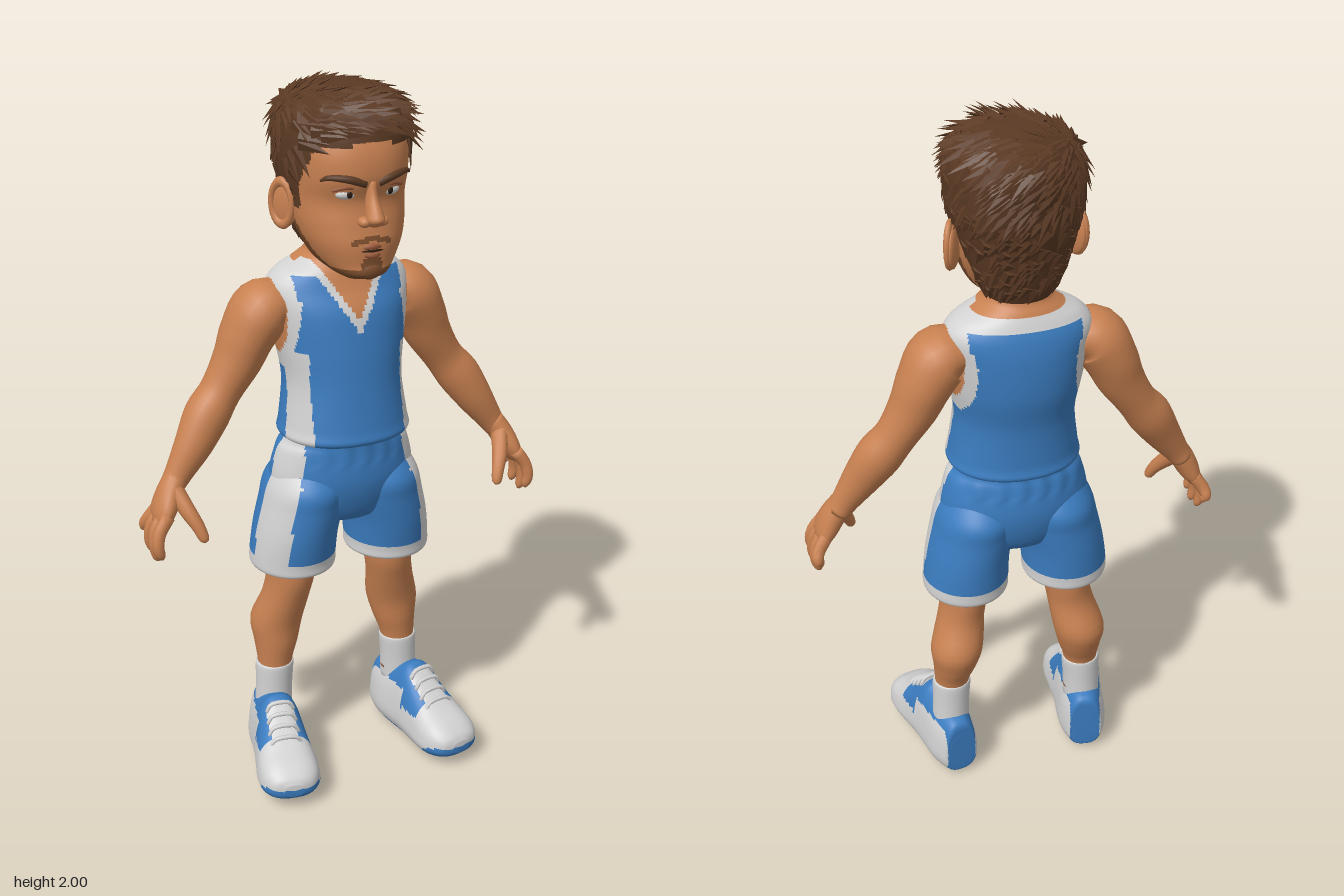
import * as THREE from 'three';
import { mergeGeometries } from 'three/addons/utils/BufferGeometryUtils.js';

const mat = (name, color) => Object.assign(new THREE.MeshStandardMaterial({ color }), { name });
const skin = mat('skin', 0xc88151), blue = mat('team blue', 0x3b7cbf), white = mat('white', 0xd2d2d2),
  hairM = mat('brown hair', 0x5b3a24), beard = mat('stubble', 0x80502f), lip = mat('lips', 0x9c5a3c),
  dark = mat('dark brown', 0x2c1b12);

const V = (x, y, z) => new THREE.Vector3(x, y, z);
const UP = V(0, 1, 0), FORWARD = V(0, 0, 1);
let seed = 7;
const rand = () => (seed = (seed * 16807) % 2147483647) / 2147483647;

// Smooth closed loft through cross-sections [x, y, z, radiusA, radiusB].
// axis keeps all sections parallel; without it they follow the path.
// pick(x, y, z) chooses each face's material, or null to leave the face out.
function loft(name, rings, { n = 20, sub = 4, axis, ref = FORWARD, e = 2, pick, shape, color = skin } = {}) {
  const centre = new THREE.CatmullRomCurve3(rings.map(r => V(r[0], r[1], r[2])), false, 'catmullrom');
  const radius = new THREE.CatmullRomCurve3(rings.map(r => V(r[3], r[4], 0)), false, 'catmullrom');
  const rows = (rings.length - 1) * sub, pos = [], buckets = new Map();
  const dir = axis && axis.clone().multiplyScalar(Math.sign(axis.dot(centre.getPoint(1).sub(centre.getPoint(0)))));
  for (let k = -1; k <= rows + 1; k++) {
    const s = Math.min(Math.max(k / rows, 0), 1), c = centre.getPoint(s), r = radius.getPoint(s);
    if (k < 0 || k > rows) r.set(0, 0, 0);
    const t = dir || centre.getTangent(s);
    const u = t.clone().cross(ref).normalize(), w = u.clone().cross(t).normalize();
    for (let j = 0; j < n; j++) {
      const a = j / n * Math.PI * 2, ca = Math.cos(a), sa = Math.sin(a);
      const p = c.clone()
        .addScaledVector(u, Math.sign(ca) * Math.abs(ca) ** (2 / e) * Math.max(r.x, 0))
        .addScaledVector(w, Math.sign(sa) * Math.abs(sa) ** (2 / e) * Math.max(r.y, 0));
      if (shape) shape(p);
      pos.push(p.x, p.y, p.z);
    }
  }
  for (let i = 0; i < rows + 2; i++) for (let j = 0; j < n; j++) {
    const a = i * n + j, b = i * n + (j + 1) % n, c = a + n, d = b + n;
    const mid = k => (pos[a * 3 + k] + pos[b * 3 + k] + pos[c * 3 + k] + pos[d * 3 + k]) / 4;
    const m = pick ? pick(mid(0), mid(1), mid(2)) : color;
    if (!m) continue;
    if (!buckets.has(m)) buckets.set(m, []);
    buckets.get(m).push(a, c, b, b, c, d);
  }
  const g = new THREE.BufferGeometry(), index = [], mats = [...buckets.keys()];
  g.setAttribute('position', new THREE.Float32BufferAttribute(pos, 3));
  mats.forEach((m, i) => { g.addGroup(index.length, buckets.get(m).length, i); index.push(...buckets.get(m)); });
  g.setIndex(index);
  g.computeVertexNormals();
  return named(name, g, mats.length > 1 ? mats : mats[0]);
}
function named(name, g, m) { const o = new THREE.Mesh(g, m); o.name = name; return o; }
function ball(name, m, p, s, tilt = 0) {
  return named(name, new THREE.SphereGeometry(1, 20, 14).scale(...s).rotateY(tilt).translate(...p), m);
}
// Mirrored copy with corner order restored
function mirror(mesh) {
  const g = mesh.geometry.clone().scale(-1, 1, 1), ix = g.index.array;
  for (let i = 0; i < ix.length; i += 3) [ix[i], ix[i + 1]] = [ix[i + 1], ix[i]];
  return named(mesh.name.replace('left', 'right'), g, mesh.material);
}

// Colour rules
const jersey = (x, y, z) => {
  const ax = Math.abs(x), neck = z > -0.05 ? Math.min(1.385 + 1.6 * ax, 1.535) : 1.525;
  if (y > neck) return skin;
  if (y > neck - 0.036) return white;
  if (y > 1.44) return ax > 0.19 ? skin : ax > 0.152 ? white : blue;
  const hole = Math.hypot((z + 0.055) / 0.075, (y - 1.39) / 0.11);
  if (ax > 0.1 && hole < 1) return skin;
  if (ax > 0.1 && hole < 1.38) return white;
  return ax > 0.132 && y < 1.3 && z > 0.2 * (1.12 - y) && z < 0.11 ? white : blue;
};
const shortsColour = (x, y, z) =>
  y < 0.685 || (Math.abs(x) > 0.197 - 0.2 * (y - 0.75) && z > -0.03 && z < 0.085) ? white : blue;
const isHair = (x, y, z) => y > (z > 0.1 ? 1.875 - 0.15 * Math.abs(x) : z > 0.045 ? 1.84 - (0.1 - z) * 1.6
  : z > 0.008 ? 1.69 : z > -0.065 ? 1.75 : 1.56);
const face = (x, y, z) => {
  if (isHair(x, y, z)) return hairM;
  const jaw = 1.545 + 1.1 * Math.min(Math.max(0.1 - z, 0), 0.1);
  if (z > -0.02 && y < jaw) return beard;
  const ax = Math.abs(x);
  if (z > 0.1 && y < 1.575 && ax < 0.028) return beard;
  return z > 0.1 && ax < 0.058 && Math.abs(y - 1.63 + 0.25 * ax) < 0.007 ? beard : skin;
};
const shoeColour = (x, y, z) => {
  const ax = Math.abs(x);
  if (y < (z > 0.15 ? Math.min(0.035 + (z - 0.15) * 0.6, 0.072) : 0.034)) return blue;
  if (z < -0.115 && ax < 0.045) return blue;
  if (y > 0.178 - 0.1 * Math.max(-z - 0.08, 0) && z < 0.045) return blue;
  return z > 0.045 && z < 0.125 && ax > 0.04 && y > 0.125 ? blue : white;
};

function leftSide() {
  const parts = [];
  // Arm and hand
  parts.push(loft('left arm', [[.15, 1.42, -.065, .05, .07], [.21, 1.4, -.065, .08, .093], [.253, 1.335, -.07, .074, .088],
    [.285, 1.265, -.07, .066, .074], [.335, 1.185, -.068, .056, .06], [.38, 1.125, -.058, .062, .062],
    [.425, 1.055, -.042, .053, .052], [.472, .985, -.033, .039, .038], [.495, .95, -.03, .033, .037]], { n: 24 }));
  parts.push(loft('left palm', [[.48, .98, -.03, .032, .034], [.507, .935, -.02, .034, .046], [.53, .89, -.01, .03, .057],
    [.544, .858, -.008, .018, .05]], { n: 18 }));
  [[.036, .05, .775], [.008, .016, .757], [-.022, -.03, .765], [-.047, -.072, .805]].forEach(([z0, z1, y], i) =>
    parts.push(loft('left finger ' + (i + 1), [[.53, .89, z0, .019, .017], [.558, .85, (z0 + z1) / 2, .018, .017],
      [.566, (.85 + y) / 2, z1, .016, .016], [.56, y + .012, z1, .013, .013], [.557, y, z1, .005, .005]], { n: 10, sub: 3 })));
  parts.push(loft('left thumb', [[.497, .95, -.01, .024, .028], [.477, .9, .035, .022, .024], [.458, .862, .062, .018, .019],
    [.446, .828, .078, .014, .014], [.443, .818, .081, .005, .005]], { n: 12, sub: 3 }));
  // Shorts leg
  parts.push(loft('left shorts leg', [[.1, .96, -.028, .09, .1], [.11, .9, -.03, .112, .142], [.12, .84, -.031, .118, .142],
    [.138, .76, -.035, .118, .139], [.146, .68, -.04, .121, .132], [.146, .65, -.04, .119, .129], [.146, .642, -.04, .1, .11]],
  { n: 72, sub: 8, axis: UP, pick: shortsColour }));
  // Leg and sock
  parts.push(loft('left leg', [[.15, .75, -.04, .07, .09], [.152, .62, -.04, .066, .088], [.165, .54, -.05, .067, .077],
    [.185, .45, -.077, .075, .08], [.191, .38, -.07, .063, .068], [.199, .31, -.06, .05, .05], [.2, .2, -.06, .05, .05]],
  { n: 24, axis: UP }));
  parts.push(loft('left sock', [[.206, .16, -.06, .055, .056], [.203, .24, -.06, .054, .054], [.2, .305, -.06, .056, .054],
    [.2, .315, -.06, .051, .05]], { n: 24, axis: UP, color: white }));
  // Shoe, lofted heel to toe and turned outward
  const place = g => g.rotateY(.18).translate(.22, 0, 0);
  const prof = [[-.146, .03, .15, .035], [-.138, .016, .195, .053], [-.08, .006, .214, .07], [-.01, .003, .232, .073],
    [.03, .004, .24, .075], [.095, .008, .19, .08], [.155, .014, .153, .085], [.205, .024, .132, .08], [.24, .038, .108, .058],
    [.254, .052, .088, .025]];
  const shoe = loft('left shoe', prof.map(([z, b, t, w]) => [0, (b + t) / 2, z, w, (t - b) / 2]),
    { n: 72, sub: 8, e: 2.7, axis: FORWARD, ref: UP, pick: shoeColour, shape: p => { p.x *= 1.07 - 1.8 * Math.max(p.y - .06, 0); } });
  place(shoe.geometry);
  parts.push(shoe);
  for (let i = 0; i < 4; i++) {
    const z = .055 + i * .027, y = .236 - i * .022, w = .04 + i * .002;
    const lace = loft('left shoe lace ' + (i + 1), [[-w, y - .024, z, .005, .006], [-w * .6, y, z, .006, .007],
      [w * .6, y, z, .006, .007], [w, y - .024, z, .005, .006]], { n: 8, sub: 3, color: white });
    place(lace.geometry);
    parts.push(lace);
  }
  // Ear, eye and brow
  parts.push(ball('left ear', skin, [.158, 1.685, -.03], [.014, .06, .042], -.5));
  parts.push(named('left ear rim', new THREE.TorusGeometry(.036, .009, 8, 24).scale(.95, 1.55, 1)
    .rotateY(Math.PI / 2 - .5).translate(.166, 1.69, -.028), skin));
  parts.push(ball('left eye', white, [.06, 1.742, .141], [.029, .014, .015], .25));
  parts.push(ball('left iris', dark, [.056, 1.743, .151], [.01, .011, .008], .25));
  parts.push(loft('left upper eyelid', [[.026, 1.75, .153, .005, .006], [.058, 1.762, .154, .007, .008],
    [.095, 1.752, .133, .005, .006]], { n: 8, color: lip }));
  parts.push(loft('left brow', [[.018, 1.768, .17, .009, .008], [.06, 1.783, .167, .01, .009], [.105, 1.787, .142, .007, .008],
    [.122, 1.778, .124, .003, .004]], { n: 10, color: hairM }));
  parts.push(ball('left nostril', skin, [.024, 1.674, .174], [.017, .014, .02]));
  return parts;
}

export function createModel() {
  const model = new THREE.Group();
  // Torso with jersey, and neck
  model.add(loft('jersey', [[0, 1.035, -.015, .16, .135], [0, 1.052, -.015, .184, .162], [0, 1.09, -.016, .178, .157],
    [0, 1.2, -.025, .165, .15], [0, 1.3, -.04, .178, .152], [0, 1.4, -.05, .194, .142], [0, 1.46, -.06, .2, .122],
    [0, 1.5, -.06, .172, .106], [0, 1.53, -.058, .115, .093], [0, 1.56, -.05, .086, .085], [0, 1.63, -.04, .084, .085]],
  { n: 160, sub: 10, axis: UP, e: 2.15, pick: jersey }));
  // Shorts seat
  model.add(loft('shorts seat', [[0, .775, -.03, .06, .06], [0, .8, -.03, .15, .105], [0, .85, -.03, .195, .13],
    [0, .92, -.028, .21, .142], [0, 1.0, -.025, .193, .134], [0, 1.03, -.022, .174, .13], [0, 1.055, -.02, .166, .13]],
  { n: 112, sub: 7, axis: UP, pick: shortsColour, shape: p => { if (p.y > .97) p.z *= 1 + .02 * Math.sin(p.x * 110); } }));
  // Head
  model.add(loft('head', [[0, 1.515, .1, .045, .045], [0, 1.53, .08, .072, .092], [0, 1.56, .045, .104, .127], [0, 1.61, .03, .13, .144],
    [0, 1.66, .015, .144, .15], [0, 1.72, 0, .15, .156], [0, 1.78, -.006, .156, .18], [0, 1.85, -.015, .158, .18],
    [0, 1.92, -.03, .14, .155], [0, 1.965, -.035, .09, .1]], { n: 96, sub: 8, axis: UP, e: 2.2, pick: face }));
  model.add(loft('nose', [[0, 1.775, .158, .014, .016], [0, 1.735, .163, .015, .024], [0, 1.7, .18, .021, .03],
    [0, 1.68, .187, .024, .031], [0, 1.664, .178, .016, .02]], { n: 16, axis: UP }));
  model.add(loft('upper lip', [[-.048, 1.6, .15, .004, .006], [0, 1.608, .172, .008, .01], [.048, 1.6, .15, .004, .006]], { n: 8, color: lip }));
  model.add(loft('lower lip', [[-.038, 1.588, .155, .004, .006], [0, 1.584, .171, .009, .01], [.038, 1.588, .155, .004, .006]], { n: 8, color: lip }));
  model.add(loft('mouth line', [[-.05, 1.596, .152, .003, .006], [0, 1.597, .176, .003, .007], [.05, 1.596, .152, .003, .006]], { n: 8, color: dark }));
  model.add(ball('chin tuft', beard, [0, 1.543, .156], [.035, .026, .02]));
  // Hair shell
  const hair = loft('hair', [[0, 1.55, -.085, .075, .062], [0, 1.62, -.065, .115, .11], [0, 1.7, -.03, .148, .168],
    [0, 1.78, -.027, .166, .198], [0, 1.86, -.025, .172, .202], [0, 1.92, -.03, .164, .19], [0, 1.96, -.03, .13, .155],
    [0, 1.982, -.03, .07, .085]], { n: 40, sub: 5, axis: UP, pick: (x, y, z) => isHair(x, y, z) ? hairM : null });
  model.add(hair);
  // Leaf-shaped tufts flowing away from the crown
  const tufts = [], P = hair.geometry.attributes.position, N = hair.geometry.attributes.normal;
  const crown = V(-.14, 1.97, -.09), q = new THREE.Quaternion();
  for (let i = 40; i < P.count - 40; i++) {
    const p = V(0, 0, 0).fromBufferAttribute(P, i), nrm = V(0, 0, 0).fromBufferAttribute(N, i);
    const spread = Math.hypot(p.x, p.z + .03) / .19;
    if (!isHair(p.x, p.y - .025, p.z) || nrm.length() < .5 || rand() > .1 + .42 * spread) continue;
    const dir = p.clone().sub(crown);
    dir.addScaledVector(nrm, -dir.dot(nrm)).normalize();
    // Fringe sweeps sideways instead of hanging over the forehead
    if (p.z > .08) dir.add(V(.35, .45, 0)).normalize();
    dir.addScaledVector(nrm, p.y < 1.8 ? .1 : .22);
    dir.add(V(rand() - .5, rand() - .5, rand() - .5).multiplyScalar(.25)).normalize();
    const side = dir.clone().cross(nrm).normalize(), out = side.clone().cross(dir).normalize();
    q.setFromRotationMatrix(new THREE.Matrix4().makeBasis(side, dir, out));
    const len = (.06 + rand() * .035) * (p.y < 1.8 ? .65 : 1);
    const g = new THREE.ConeGeometry(.021, len, 4).scale(1, 1, .4).translate(0, len * .2, 0).applyQuaternion(q)
      .translate(p.x, p.y, p.z).toNonIndexed();
    g.computeVertexNormals();
    tufts.push(g);
  }
  model.add(named('hair tufts', mergeGeometries(tufts), hairM));
  // Paired parts
  for (const part of leftSide()) model.add(part, mirror(part));
  return model;
}
